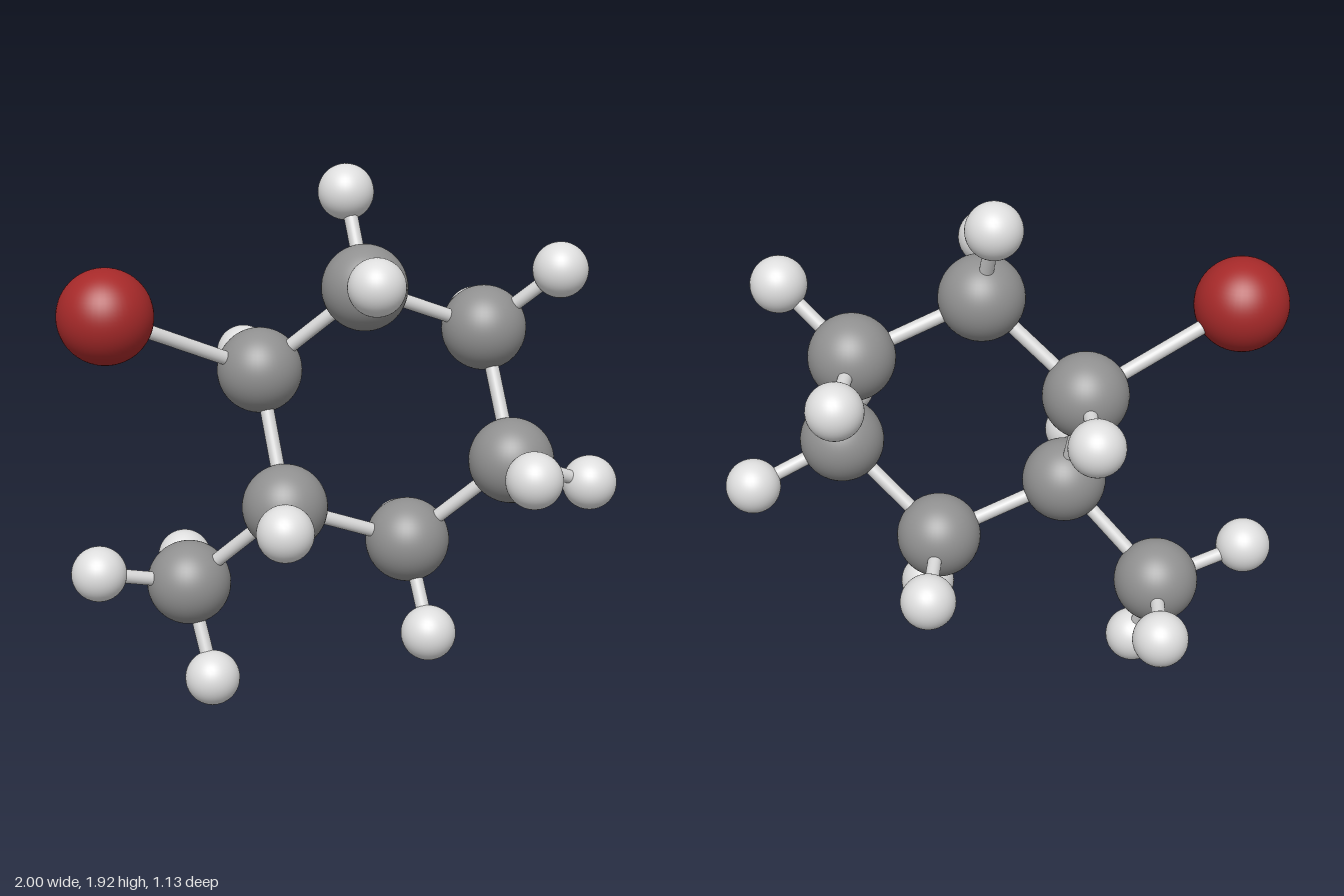
import * as THREE from 'three';

const material = (name, color) => {
  const m = new THREE.MeshStandardMaterial({ color });
  m.name = name;
  return m;
};

export function createModel() {
  const model = new THREE.Group();
  model.name = 'moleculeModel';

  const grey = material('carbon grey', 0x909090);
  const white = material('hydrogen white', 0xdedede);
  const red = material('bromine red', 0xa62929);
  const silver = material('bond light grey', 0xd6d6d6);

  const carbonBall = new THREE.SphereGeometry(0.152, 48, 32);
  const hydrogenBall = new THREE.SphereGeometry(0.099, 40, 24);
  const bromineBall = new THREE.SphereGeometry(0.167, 48, 32);
  const rod = new THREE.CylinderGeometry(0.025, 0.025, 1, 24);
  const up = new THREE.Vector3(0, 1, 0);

  function atom(name, geometry, mat, p) {
    const mesh = new THREE.Mesh(geometry, mat);
    mesh.name = name;
    mesh.position.copy(p);
    model.add(mesh);
  }

  // Rod joining two atom centres
  function bond(a, b) {
    const d = b.clone().sub(a);
    const mesh = new THREE.Mesh(rod, silver);
    mesh.name = 'bond';
    mesh.position.copy(a).addScaledVector(d, 0.5);
    mesh.scale.y = d.length();
    mesh.quaternion.setFromUnitVectors(up, d.normalize());
    model.add(mesh);
  }

  // Each carbon with the hydrogens attached to it: six ring carbons, then the side carbon
  const carbons = [
    { at: [-0.29, 1.2, -0.12], h: [[-0.318, 1.18, -0.47]] },
    { at: [0.07, 1.515, 0], h: [[0.025, 1.825, -0.16], [0.06, 1.593, 0.355]] },
    { at: [0.515, 1.335, -0.1], h: [[0.765, 1.56, 0.005], [0.548, 1.305, -0.452]] },
    { at: [0.58, 0.9, 0.115], h: [[0.585, 0.935, 0.465], [0.897, 0.768, 0.003]] },
    { at: [0.23, 0.575, -0.012], h: [[0.282, 0.275, 0.156], [0.257, 0.51, -0.363]] },
    { at: [-0.225, 0.752, 0.088], h: [[-0.26, 0.775, 0.44]] },
    { at: [-0.56, 0.425, -0.075],
      h: [[-0.884, 0.51, 0.03], [-0.49, 0.102, 0.057], [-0.557, 0.4, -0.428]] },
  ];

  const centres = carbons.map(({ at, h }) => {
    const c = new THREE.Vector3(...at);
    atom('carbonAtom', carbonBall, grey, c);
    for (const q of h) {
      const p = new THREE.Vector3(...q);
      atom('hydrogenAtom', hydrogenBall, white, p);
      bond(c, p);
    }
    return c;
  });

  // Closed ring and the side carbon
  for (let i = 0; i < 6; i++) bond(centres[i], centres[(i + 1) % 6]);
  bond(centres[5], centres[6]);

  // Large red atom on the first ring carbon
  const bromine = new THREE.Vector3(-0.833, 1.457, 0.078);
  atom('bromineAtom', bromineBall, red, bromine);
  bond(centres[0], bromine);

  return model;
}
